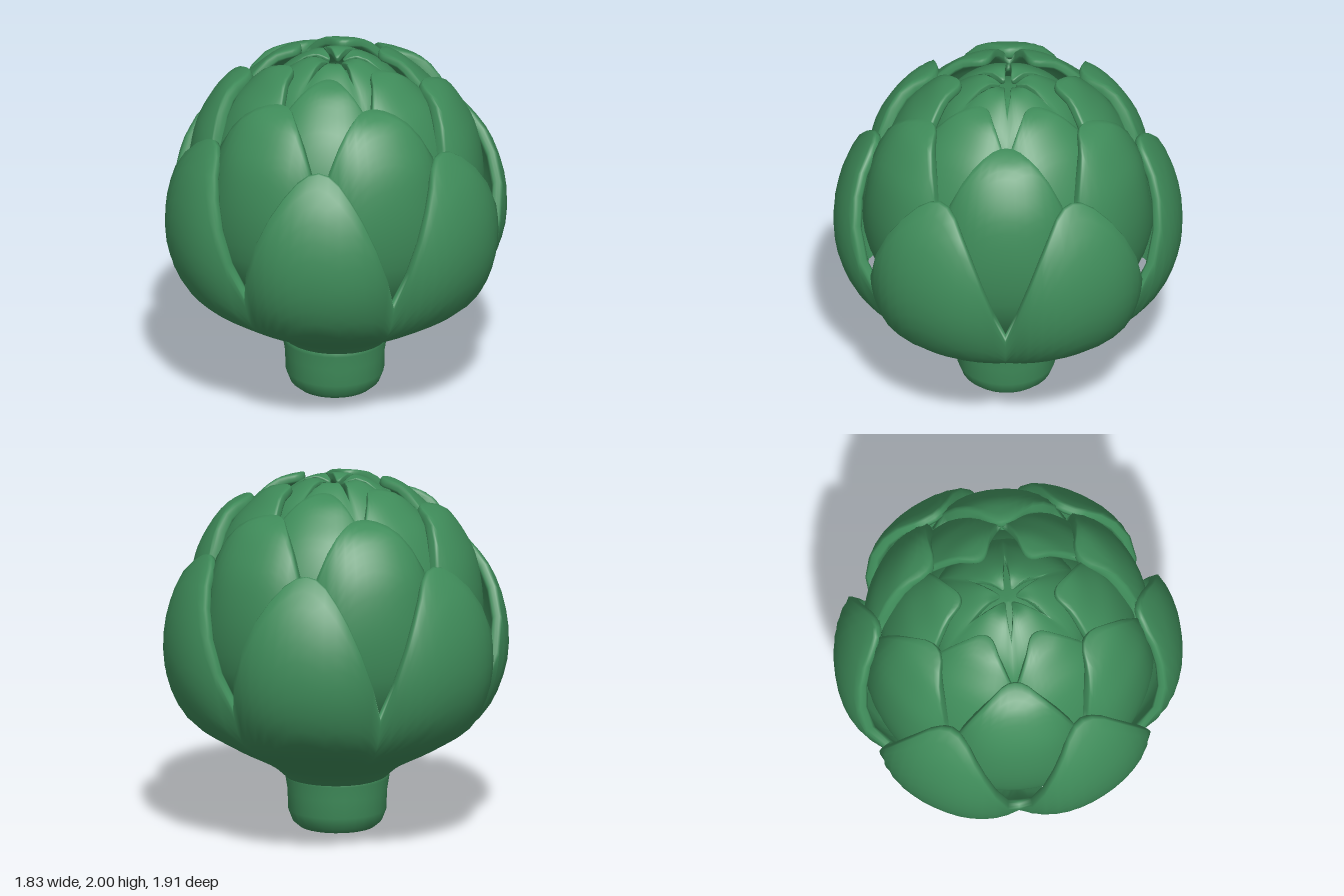
import * as THREE from 'three';

const PETALS = 6, COLS = 14, ROWS = 18, INNER = 8;

// One whorl of six overlapping leaves: a thick scalloped shell swept round the y axis.
// profile: outer [radius, height] points from base to leaf tip; valley: where leaves part.
function leafWhorl({ profile, valley, thick, pinch, taper, turn }) {
  const curve = new THREE.SplineCurve(profile.map(([r, y]) => new THREE.Vector2(r, y)));
  const n = PETALS * COLS;
  const pos = [], index = [];

  // Rows run up the outside, round the lip, then down the inside: [height share, depth share]
  const rows = [];
  for (let j = 0; j <= ROWS; j++) rows.push([j / ROWS * 0.985, 0]);
  rows.push([0.997, 0.2], [1, 0.5], [0.997, 0.8]);
  for (let j = 0; j <= INNER; j++) rows.push([0.985 - j / INNER * 0.55, 1]);

  for (const [v, depth] of rows) {
    for (let i = 0; i < n; i++) {
      const a = Math.abs(((i % COLS) / COLS) * 2 - 1); // 0 on the midrib, 1 at the valley
      const top = valley + (1 - valley) * (1 - Math.pow(a, taper));
      const u = v * top;
      const p = curve.getPoint(u), t = curve.getTangent(u);
      const d = depth * thick * (1 - 0.35 * Math.pow(v, 4));
      const cup = 1 - pinch * Math.pow(a, 3) * THREE.MathUtils.smoothstep(u, valley * 0.55, valley);
      const r = Math.max(0.012, (p.x - t.y * d) * cup);
      const phi = ((i / COLS) - 0.5 + turn) * Math.PI * 2 / PETALS;
      pos.push(r * Math.sin(phi), p.y + t.x * d, r * Math.cos(phi));
    }
  }
  for (let j = 0; j < rows.length - 1; j++) {
    for (let i = 0; i < n; i++) {
      const k = (i + 1) % n;
      const A = j * n + i, B = j * n + k, C = A + n, D = B + n;
      index.push(A, B, D, A, D, C);
    }
  }
  const geo = new THREE.BufferGeometry();
  geo.setAttribute('position', new THREE.Float32BufferAttribute(pos, 3));
  geo.setIndex(index);
  geo.computeVertexNormals();
  return geo;
}

function lathe(points, sides) {
  return new THREE.LatheGeometry(points.map(([r, y]) => new THREE.Vector2(r, y)), sides);
}

export function createModel() {
  const group = new THREE.Group();
  const leafGreen = new THREE.MeshStandardMaterial({ color: 0x3f8c5a });
  leafGreen.name = 'leafGreen';

  const add = (name, geometry) => {
    const mesh = new THREE.Mesh(geometry, leafGreen);
    mesh.name = name;
    group.add(mesh);
    return mesh;
  };

  // Short stalk with a shallow pointed base, tucked inside the outer leaves
  const stem = add('stem', lathe([
    [0, 0], [0.21, 0.045], [0.245, 0.075], [0.27, 0.14], [0.272, 0.24],
    [0.285, 0.32], [0.285, 0.35], [0.25, 0.42],
  ], 28));
  stem.position.x = -0.01;

  // Four whorls of leaves, outermost first
  const whorls = {
    outerLeaves: {
      profile: [[0.28, 0.33], [0.375, 0.41], [0.6, 0.53], [0.83, 0.69],
        [0.94, 0.93], [0.945, 1.2], [0.865, 1.45], [0.73, 1.63]],
      valley: 0.52, thick: 0.09, pinch: 0.09, taper: 1.8, turn: 0,
    },
    middleLeaves: {
      profile: [[0.6, 0.7], [0.76, 0.95], [0.81, 1.25], [0.78, 1.53],
        [0.7, 1.71], [0.6, 1.83], [0.47, 1.88]],
      valley: 0.42, thick: 0.1, pinch: 0.1, taper: 2, turn: 0.5,
    },
    upperLeaves: {
      profile: [[0.6, 1.1], [0.69, 1.4], [0.67, 1.56], [0.58, 1.75],
        [0.47, 1.87], [0.37, 1.95], [0.26, 1.98]],
      valley: 0.55, thick: 0.07, pinch: 0.08, taper: 2.1, turn: 0,
    },
    crownLeaves: {
      profile: [[0.45, 1.5], [0.43, 1.7], [0.34, 1.86], [0.22, 1.96],
        [0.12, 1.998], [0.04, 1.97]],
      valley: 0.52, thick: 0.06, pinch: 0.06, taper: 3, turn: 0,
    },
  };
  for (const [name, spec] of Object.entries(whorls)) add(name, leafWhorl(spec));

  // Solid heart that closes the gaps between the leaves
  add('heart', lathe([
    [0.3, 0.6], [0.6, 0.9], [0.63, 1.3], [0.52, 1.6], [0.35, 1.79], [0.15, 1.865], [0, 1.88],
  ], 24));

  return group;
}
